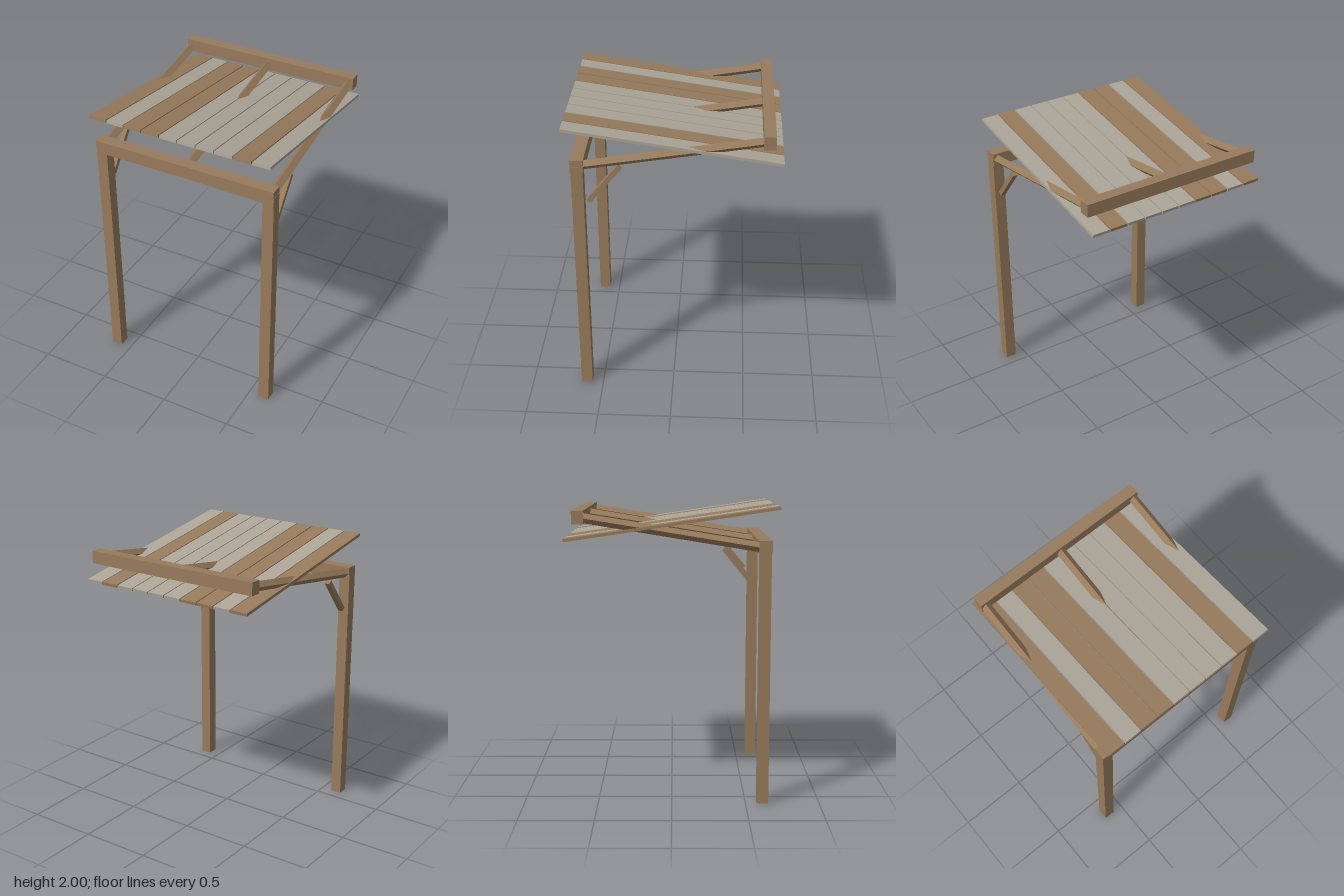
import * as THREE from 'three';

export function createModel() {
  const root = new THREE.Group();
  const wood = new THREE.MeshStandardMaterial({ name: 'brown wood', color: 0x977a5c });
  const grey = new THREE.MeshStandardMaterial({ name: 'weathered grey wood', color: 0xaca598 });

  const box = (name, size, pos, material = wood, parent = root) => {
    const mesh = new THREE.Mesh(new THREE.BoxGeometry(...size), material);
    mesh.name = name;
    mesh.position.set(...pos);
    parent.add(mesh);
    return mesh;
  };

  // Timber of the given section running between two points [y, z] at a fixed x
  const timber = (name, x, from, to, width, height, roll = 0) => {
    const a = new THREE.Vector3(x, ...from);
    const b = new THREE.Vector3(x, ...to);
    const mid = a.clone().add(b).multiplyScalar(0.5);
    const mesh = box(name, [width, height, a.distanceTo(b)], mid.toArray());
    mesh.lookAt(b);
    mesh.rotateZ(roll);
  };

  // Posts and knee braces
  for (const [side, s] of [['left', 1], ['right', -1]]) {
    box(side + 'Post', [0.078, 1.735, 0.078], [s * 0.613, 0.8675, 0.615]);
    timber(side + 'Brace', s * 0.613, [1.476, 0.549], [1.728, 0.342], 0.036, 0.034);
  }

  // Cross beams
  box('frontBeam', [1.3, 0.088, 0.086], [0, 1.736, 0.615]);
  box('backBeam', [1.3, 0.088, 0.078], [0, 1.93, -0.615]);

  // Rafters, set on edge as diamonds
  for (const [name, x] of [['leftRafter', 0.615], ['middleRafter', 0], ['rightRafter', -0.615]]) {
    timber(name, x, [1.73, 0.615], [1.93, -0.615], 0.046, 0.046, Math.PI / 4);
  }

  // Tilted roof of ten planks, from the right edge to the left
  const roof = new THREE.Group();
  roof.name = 'roof';
  roof.position.y = 1.885;
  roof.rotation.x = -0.147;
  root.add(roof);
  [...'bgbbggggbg'].forEach((c, i) => {
    box('roofPlank' + (i + 1), [0.123, 0.02, 1.436], [(i - 4.5) * 0.1307, 0, 0],
      c === 'b' ? wood : grey, roof);
  });

  return root;
}
